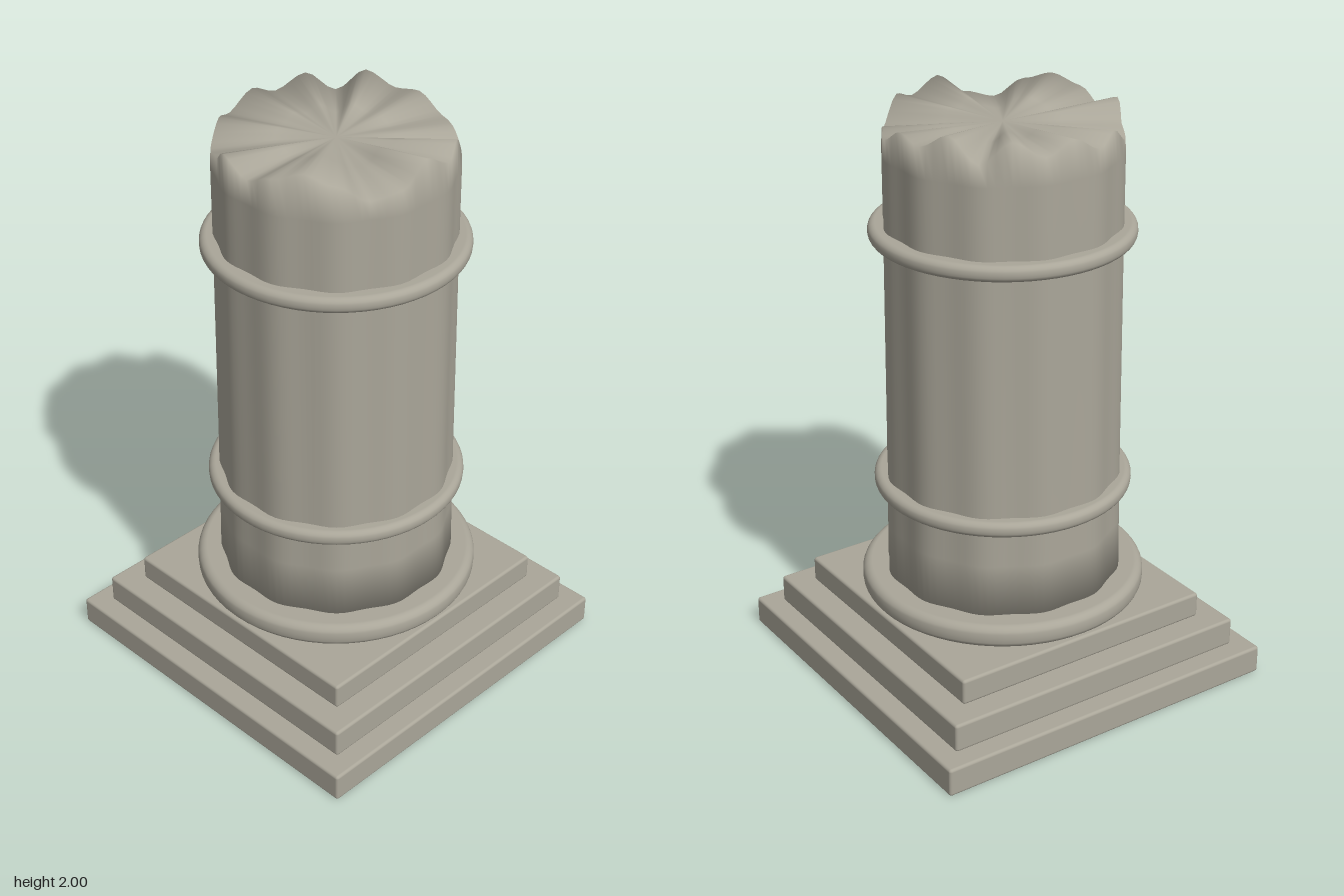
import * as THREE from 'three';
import { mergeVertices } from 'three/addons/utils/BufferGeometryUtils.js';
import { RoundedBoxGeometry } from 'three/addons/geometries/RoundedBoxGeometry.js';

const stone = new THREE.MeshStandardMaterial({ color: 0xaaa699 });

function part(name, geometry, y = 0) {
  const mesh = new THREE.Mesh(geometry, stone);
  mesh.name = name;
  mesh.position.y = y;
  return mesh;
}

// Round moulding with a rounded outer edge
function moulding(outer, inner, height, bevel) {
  const h = height / 2;
  const profile = [new THREE.Vector2(inner, -h)];
  for (let i = 0; i <= 12; i++) {
    const a = -Math.PI / 2 + (Math.PI * i) / 12;
    profile.push(new THREE.Vector2(
      outer - bevel + bevel * Math.cos(a),
      Math.sign(Math.sin(a)) * (h - bevel) + bevel * Math.sin(a)));
  }
  profile.push(new THREE.Vector2(inner, h));
  return new THREE.LatheGeometry(profile, 64);
}

// Height of the broken rim every 15 degrees, from +x towards +z
const rim = [1.97, 1.92, 1.93, 1.89, 1.98, 1.95, 2.0, 1.93, 1.91, 1.97, 2.0, 1.97,
  1.93, 1.98, 1.92, 1.90, 1.96, 1.93, 1.98, 1.94, 1.99, 1.92, 2.0, 1.95];

function rimHeight(angle) {
  const t = ((angle / (2 * Math.PI) + 1) % 1) * rim.length;
  const i = Math.floor(t) % rim.length;
  const f = THREE.MathUtils.smoothstep(t - Math.floor(t), 0, 1);
  return THREE.MathUtils.lerp(rim[i], rim[(i + 1) % rim.length], f);
}

// Shaft with twelve soft facets and a jagged, fanned top
function shaftGeometry() {
  const centre = 1.94;
  const profile = [[0, 0.34], [0.4, 0.34], [0.397, 0.55], [0.394, 0.8], [0.388, 1.55], [0.387, 1.85],
    [0.384, 2], [0.19, 2], [0, 2]].map(([r, y]) => new THREE.Vector2(r, y));
  let geometry = new THREE.LatheGeometry(profile, 96);
  const p = geometry.attributes.position;
  for (let i = 0; i < p.count; i++) {
    const x = p.getX(i), y = p.getY(i), z = p.getZ(i);
    const r = Math.hypot(x, z);
    const angle = Math.atan2(z, x);
    const s = 1 - 0.014 * Math.cos(12 * angle);
    let top = y;
    if (y > 1.9) top = THREE.MathUtils.lerp(centre, rimHeight(angle), Math.min(1, r / 0.384));
    p.setXYZ(i, x * s, top, z * s);
  }
  geometry.deleteAttribute('normal');
  geometry.deleteAttribute('uv');
  geometry = mergeVertices(geometry, 1e-4);
  geometry.computeVertexNormals();
  return geometry;
}

export function createModel() {
  const model = new THREE.Group();
  model.name = 'brokenColumn';

  // Stepped square plinth
  [[1.28, 0, 0.1], [1.14, 0.1, 0.1], [0.97, 0.2, 0.09]].forEach(([w, y, h], i) =>
    model.add(part(`plinthStep${i + 1}`, new RoundedBoxGeometry(w, h, w, 3, 0.01), y + h / 2)));

  // Round base
  model.add(part('roundBase', moulding(0.487, 0.3, 0.08, 0.032), 0.33));

  // Shaft and its two bands
  model.add(part('shaft', shaftGeometry()));
  model.add(part('lowerBand', moulding(0.437, 0.36, 0.054, 0.024), 0.702));
  model.add(part('upperBand', moulding(0.437, 0.36, 0.054, 0.024), 1.587));

  return model;
}
